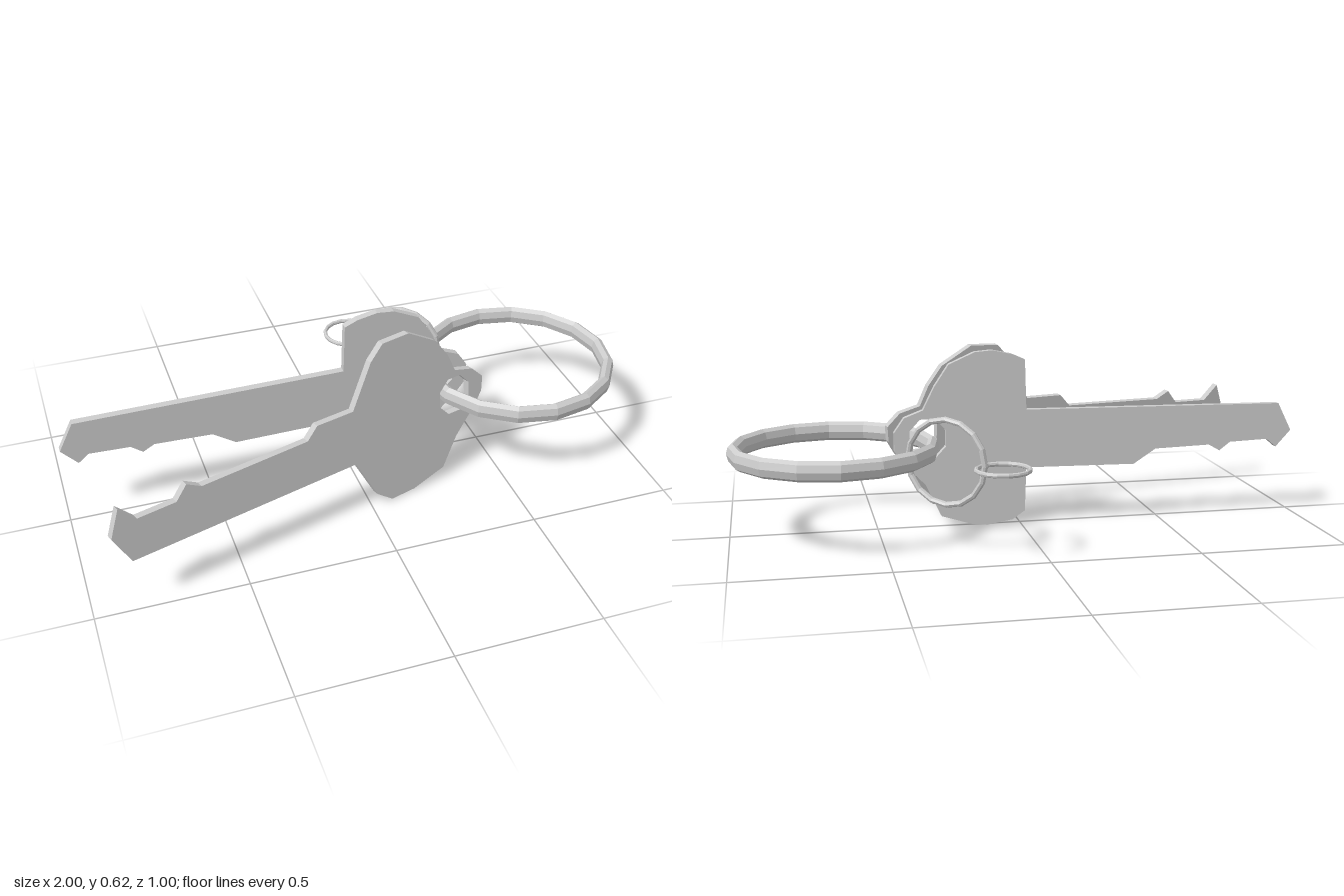
import * as THREE from 'three';

const THICK = 0.026;
const MID = 0.31; // height of the keys' long axis

const metal = new THREE.MeshStandardMaterial({ color: 0xcccccc, flatShading: true });

// Flat key cut from an outline, with an eight-sided hole for the ring
function makeKey(name, outline, holeX, holeY) {
  const shape = new THREE.Shape(outline.map(([x, y]) => new THREE.Vector2(x, y - MID)));
  const hole = [];
  for (let i = 0; i < 8; i++) {
    const a = -(i + 0.5) * Math.PI / 4;
    hole.push(new THREE.Vector2(holeX + 0.068 * Math.cos(a), holeY - MID + 0.074 * Math.sin(a)));
  }
  shape.holes.push(new THREE.Path(hole));
  const geo = new THREE.ExtrudeGeometry(shape, { depth: THICK, bevelEnabled: false });
  geo.translate(0, 0, -THICK / 2);
  const key = new THREE.Mesh(geo, metal);
  key.name = name;
  return key;
}

// Ring of given outer radius; axial is half its thickness along the axis
function makeRing(name, outer, tube, axial, segments) {
  const geo = new THREE.TorusGeometry(outer - tube, tube, 8, segments);
  geo.scale(1, 1, axial / tube);
  const ring = new THREE.Mesh(geo, metal);
  ring.name = name;
  return ring;
}

export function createModel() {
  const group = new THREE.Group();

  // Straight key, teeth facing down, square-shouldered bow
  const straightKey = makeKey('straightKey', [
    [-0.95, 0.40], [-1.0, 0.30], [-0.945, 0.24], [-0.91, 0.27],
    [-0.77, 0.265], [-0.73, 0.235], [-0.69, 0.258], [-0.49, 0.252],
    [-0.41, 0.20], [-0.02, 0.205],
    [-0.015, 0.05], [0.03, 0.02], [0.12, 0.005], [0.17, 0.01], [0.28, 0.045],
    [0.335, 0.16], [0.40, 0.225], [0.44, 0.28], [0.44, 0.345], [0.405, 0.395],
    [0.34, 0.42], [0.30, 0.50], [0.25, 0.575], [0.16, 0.615],
    [0.10, 0.62], [0.03, 0.605], [-0.015, 0.585], [-0.02, 0.41],
  ], 0.325, 0.32);
  straightKey.position.set(0, MID, -0.008);
  group.add(straightKey);

  // Splayed key, teeth facing up, swung forward and leaning back
  const splayedKey = makeKey('splayedKey', [
    [-0.90, 0.195], [-0.955, 0.30], [-0.92, 0.395], [-0.865, 0.338],
    [-0.73, 0.34], [-0.69, 0.388], [-0.64, 0.36], [-0.25, 0.367], [-0.21, 0.41],
    [-0.07, 0.41], [0.01, 0.565], [0.06, 0.617], [0.165, 0.62], [0.275, 0.555],
    [0.325, 0.485], [0.355, 0.415], [0.43, 0.395], [0.475, 0.35], [0.47, 0.295],
    [0.44, 0.245], [0.385, 0.185], [0.355, 0.15], [0.295, 0.045],
    [0.165, 0.008], [0.07, 0.005], [0.01, 0.05], [-0.07, 0.205],
  ].reverse(), 0.35, 0.32);
  splayedKey.rotation.set(-0.1, 0.277, 0, 'YXZ');
  splayedKey.position.set(0, MID, 0.222);
  group.add(splayedKey);

  // Large ring lying flat
  const mainRing = makeRing('mainRing', 0.357, 0.022, 0.034, 16);
  mainRing.rotation.x = Math.PI / 2;
  mainRing.position.set(0.643, 0.297, -0.022);
  group.add(mainRing);

  // Upright linking ring
  const linkRing = makeRing('linkRing', 0.151, 0.01, 0.012, 16);
  linkRing.rotation.y = -0.64;
  linkRing.position.set(0.3, 0.294, -0.28);
  group.add(linkRing);

  // Small end ring lying flat
  const endRing = makeRing('endRing', 0.094, 0.007, 0.008, 16);
  endRing.rotation.x = Math.PI / 2;
  endRing.position.set(0.137, 0.292, -0.413);
  group.add(endRing);

  return group;
}
